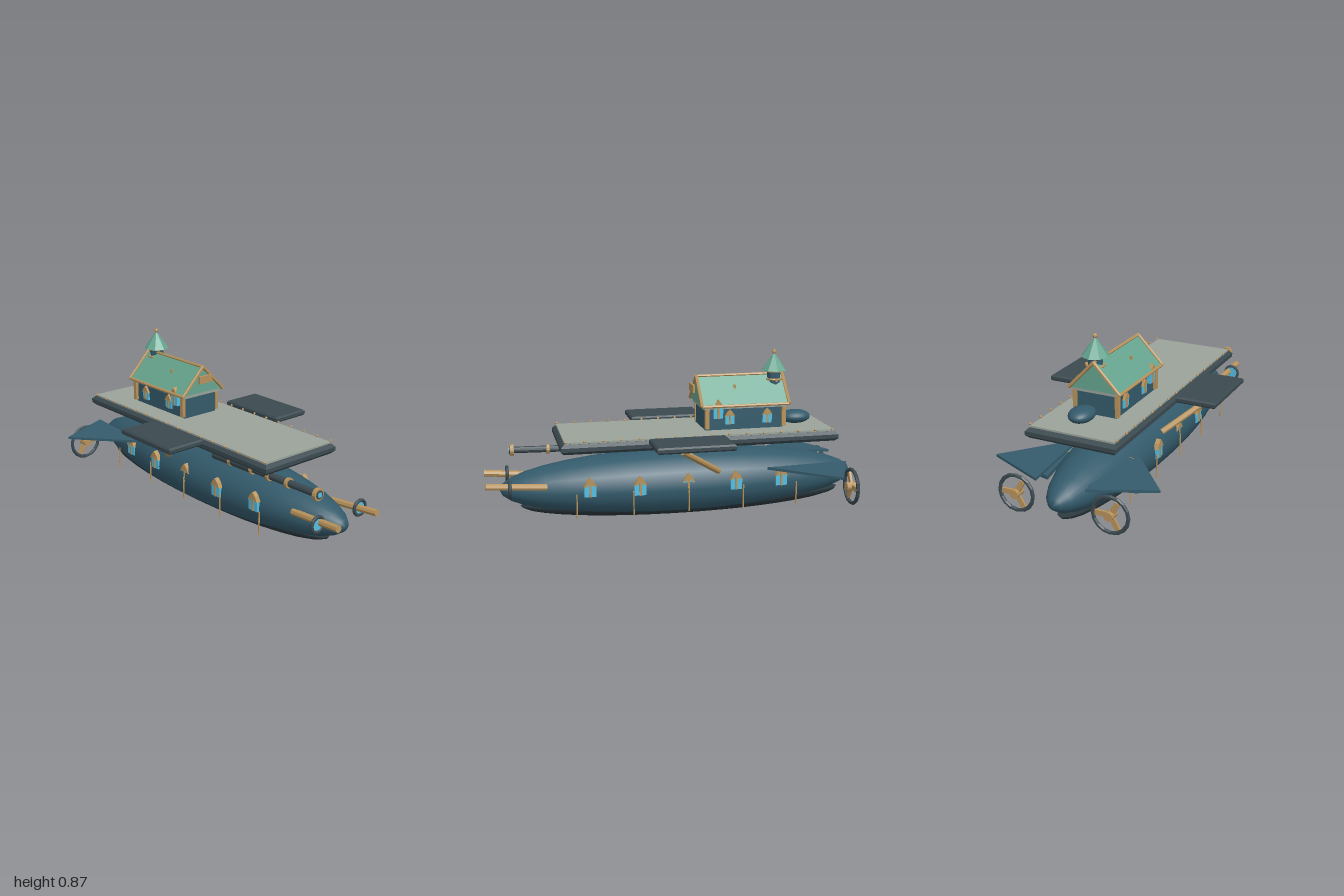
import * as THREE from 'three';

const mat = (color) => new THREE.MeshStandardMaterial({ color });
const flat = (color) => { const m = mat(color); m.flatShading = true; return m; };

export function createModel() {
  const root = new THREE.Group();
  const teal = mat(0x335a6b), fin = flat(0x355b6b), dark = flat(0x3b4a50), iron = mat(0x2c3a40);
  const brass = flat(0xb8935c), glass = mat(0x55bfe2), roofGreen = flat(0x66a58f), stone = flat(0x9ba39a);

  const add = (name, geo, m, x = 0, y = 0, z = 0, parent = root) => {
    const mesh = new THREE.Mesh(geo, m);
    mesh.name = name;
    mesh.position.set(x, y, z);
    parent.add(mesh);
    return mesh;
  };
  const box = (name, m, x0, x1, y0, y1, z0, z1, parent) =>
    add(name, new THREE.BoxGeometry(x1 - x0, y1 - y0, z1 - z0), m,
      (x0 + x1) / 2, (y0 + y1) / 2, (z0 + z1) / 2, parent);
  // Round bar between two points
  const rod = (name, m, a, b, r, sides = 10, parent = root) => {
    const p = new THREE.Vector3(...a), q = new THREE.Vector3(...b);
    const mesh = add(name, new THREE.CylinderGeometry(r, r, p.distanceTo(q), sides), m, 0, 0, 0, parent);
    mesh.position.copy(p).add(q).multiplyScalar(0.5);
    mesh.quaternion.setFromUnitVectors(new THREE.Vector3(0, 1, 0), q.sub(p).normalize());
    return mesh;
  };
  const polygon = (pts) => new THREE.Shape(pts.map(([x, y]) => new THREE.Vector2(x, y)));
  const ellipsoid = (name, m, rx, ry, rz, x, y, z) => {
    const geo = new THREE.SphereGeometry(1, 24, 18).rotateZ(-Math.PI / 2).scale(rx, ry, rz);
    return add(name, geo, m, x, y, z);
  };
  // Horizontal plate from an (x, z) outline, with an optional chamfer
  const plate = (name, m, pts, y0, y1, b = 0) => {
    const geo = new THREE.ExtrudeGeometry(polygon(pts), {
      depth: y1 - y0 - 2 * b, bevelEnabled: b > 0, bevelSize: b, bevelThickness: b, bevelSegments: 1,
    }).rotateX(Math.PI / 2);
    return add(name, geo, m, 0, y1 - b, 0);
  };
  const slab = (name, m, x0, x1, y0, y1, z0, z1, b) => plate(name, m,
    [[x0 + b, z0 + b], [x1 - b, z0 + b], [x1 - b, z1 - b], [x0 + b, z1 - b]], y0, y1, b);

  // Pointed window with brass cap and mullion, facing +z
  const extrude = (pts, depth) => new THREE.ExtrudeGeometry(polygon(pts), { depth, bevelEnabled: false });
  const gothicWindow = (name, w, h, x, y, z) => {
    const g = new THREE.Group();
    g.name = name;
    add('pane', extrude([[-w / 2, 0], [w / 2, 0], [w / 2, h * 0.6], [0, h * 0.95], [-w / 2, h * 0.6]], 0.02), glass, 0, 0, -0.015, g);
    add('cap', extrude([[-w * 0.55, h * 0.55], [-w * 0.2, h * 0.62], [0, h * 0.75], [w * 0.2, h * 0.62],
      [w * 0.55, h * 0.55], [w * 0.3, h * 0.85], [0, h * 1.05], [-w * 0.3, h * 0.85]], 0.025), brass, 0, 0, -0.015, g);
    box('mullion', brass, -0.005, 0.005, 0, h * 0.8, -0.01, 0.01, g);
    g.position.set(x, y, z);
    if (z < 0) g.rotation.y = Math.PI;
    root.add(g);
  };

  // Hull and keel
  ellipsoid('hull', teal, 0.962, 0.175, 0.206, -0.037, 0.18, 0);
  const keel = new THREE.SphereGeometry(1, 32, 10, 0, Math.PI * 2, Math.PI / 2, Math.PI / 2);
  add('keel', keel.scale(0.875, 0.088, 0.152), iron, -0.055, 0.09, 0);
  const lid = new THREE.CircleGeometry(1, 32).rotateX(-Math.PI / 2).scale(0.875, 1, 0.152);
  add('keelTop', lid, iron, -0.055, 0.09, 0);

  // Main deck with rim studs
  slab('deckRim', dark, -0.835, 0.625, 0.405, 0.457, -0.24, 0.24, 0.016);
  box('deckFloor', stone, -0.815, 0.605, 0.45, 0.466, -0.222, 0.222);
  for (const s of [1, -1]) {
    for (let i = 0; i < 16; i++)
      add('deckStud', new THREE.SphereGeometry(0.007, 6, 4), brass, -0.8 + i * 0.0933, 0.469, s * 0.229);
  }

  for (const s of [1, -1]) {
    // Side platforms and their struts
    slab('sidePlatform', dark, -0.215, 0.185, 0.443, 0.475,
      s > 0 ? 0.255 : -0.47, s > 0 ? 0.47 : -0.255, 0.008);
    rod('platformStrut', brass, [0.04, 0.43, s * 0.385], [-0.2, 0.262, s * 0.175], 0.016);

    // Hull windows and hanging rods
    for (let i = 0; i < 5; i++) {
      const x = -0.545 + i * 0.255;
      const z = i === 2 ? 0.195 : 0.206 * Math.sqrt(1 - ((x + 0.037) / 0.962) ** 2) + 0.002;
      gothicWindow('hullWindow', 0.062, 0.095, x, 0.165, s * z);
      const rx = -0.62 + i * 0.292;
      rod('hangingRod', brass, [rx, 0.065, s * 0.207], [rx, 0.19, s * 0.207], 0.004, 6);
    }

    // Tail fins
    plate('upperFin', fin, [[-0.47, s * 0.165], [-0.79, s * 0.44], [-0.93, s * 0.13]], 0.25, 0.263);
    plate('lowerFin', fin, [[-0.59, s * 0.15], [-0.8, s * 0.337], [-0.86, s * 0.11]], 0.228, 0.248);

    // Ringed propeller
    const prop = new THREE.Group();
    prop.name = 'propeller';
    prop.position.set(-0.915, 0.155, s * 0.25);
    add('propellerRing', new THREE.TorusGeometry(0.091, 0.01, 6, 16).rotateY(Math.PI / 2), dark, 0, 0, 0, prop);
    rod('propellerHub', brass, [-0.025, 0, 0], [0.03, 0, 0], 0.023, 10, prop);
    for (let i = 0; i < 3; i++) {
      const blade = new THREE.BoxGeometry(0.012, 0.026, 0.065).translate(0, 0, -0.045);
      add('propellerBlade', blade, brass, 0, 0, 0, prop).rotation.x = i * Math.PI * 2 / 3;
    }
    root.add(prop);

    // Bow portholes and guns
    add('bowRing', new THREE.TorusGeometry(0.038, 0.009, 8, 20).rotateY(Math.PI / 2), dark, 0.878, 0.222, s * 0.147);
    rod('bowGlass', glass, [0.87, 0.222, s * 0.147], [0.88, 0.222, s * 0.147], 0.034, 20);
    rod('bowGun', brass, [0.69, 0.214, s * 0.118], [0.998, 0.238, s * 0.134], 0.018, 8);
  }

  // Long spyglass on the left shoulder
  const axis = (x) => [x, 0.344 + (x - 0.12) * 0.02, 0.122];
  rod('spyglassBody', dark, axis(0.12), axis(0.4), 0.023, 12);
  rod('spyglassBarrel', dark, axis(0.4), axis(0.85), 0.018, 12);
  for (const x of [0.25, 0.41, 0.53, 0.66])
    rod('spyglassBand', brass, axis(x - 0.008), axis(x + 0.008), 0.027, 12);
  rod('spyglassMuzzle', brass, axis(0.84), axis(0.86), 0.031, 12);
  rod('spyglassCollar', dark, axis(0.855), axis(0.863), 0.022, 12);
  rod('spyglassLens', glass, axis(0.86), axis(0.866), 0.013, 12);

  // Cabin
  box('cabinWalls', fin, -0.57, -0.145, 0.466, 0.585, -0.107, 0.107);
  box('cabinCornice', stone, -0.58, -0.13, 0.58, 0.6, -0.124, 0.124);
  for (const s of [1, -1]) {
    for (const x of [-0.57, -0.152])
      box('cabinPost', brass, x - 0.011, x + 0.011, 0.475, 0.585, s * 0.114 - 0.01, s * 0.114 + 0.01);
    gothicWindow('cabinWindow', 0.05, 0.075, -0.48, 0.495, s * 0.11);
    gothicWindow('cabinWindow', 0.05, 0.075, -0.275, 0.495, s * 0.11);
    gothicWindow('dormerWindow', 0.05, 0.095, -0.21, 0.53, s * 0.122);
    rod('eaveTrim', brass, [-0.595, 0.597, s * 0.136], [-0.118, 0.597, s * 0.136], 0.008, 6);
    for (const x of [-0.593, -0.12])
      rod('bargeBoard', brass, [x, 0.597, s * 0.137], [x, 0.74, 0], 0.009, 6);
    box('roofHook', brass, -0.32, -0.31, 0.675, 0.695, s * 0.058 - 0.006, s * 0.058 + 0.006);
  }
  const gable = extrude([[-0.135, 0.598], [0.135, 0.598], [0, 0.738]], 0.47).rotateY(Math.PI / 2);
  add('cabinRoof', gable, roofGreen, -0.592, 0, 0);
  rod('roofRidge', brass, [-0.595, 0.738, 0], [-0.118, 0.738, 0], 0.008, 6);
  box('plaque', brass, -0.104, -0.092, 0.657, 0.697, -0.043, 0.043);

  // Lookout turret
  const tx = -0.543, tz = -0.015;
  rod('turretDrum', fin, [tx, 0.66, tz], [tx, 0.765, tz], 0.037, 8);
  add('turretRail', new THREE.TorusGeometry(0.043, 0.006, 6, 16).rotateX(Math.PI / 2), brass, tx, 0.712, tz);
  rod('turretScope', brass, [tx, 0.71, tz - 0.03], [tx, 0.71, tz - 0.054], 0.008, 8);
  rod('turretEave', brass, [tx, 0.751, tz], [tx, 0.759, tz], 0.05, 8);
  add('turretRoof', new THREE.ConeGeometry(0.069, 0.095, 8), roofGreen, tx, 0.806, tz);
  add('finial', new THREE.SphereGeometry(0.012, 8, 6), brass, tx, 0.857, tz);

  // Rounded pod behind the cabin
  ellipsoid('deckPod', teal, 0.083, 0.037, 0.062, -0.665, 0.503, -0.026);

  return root;
}
